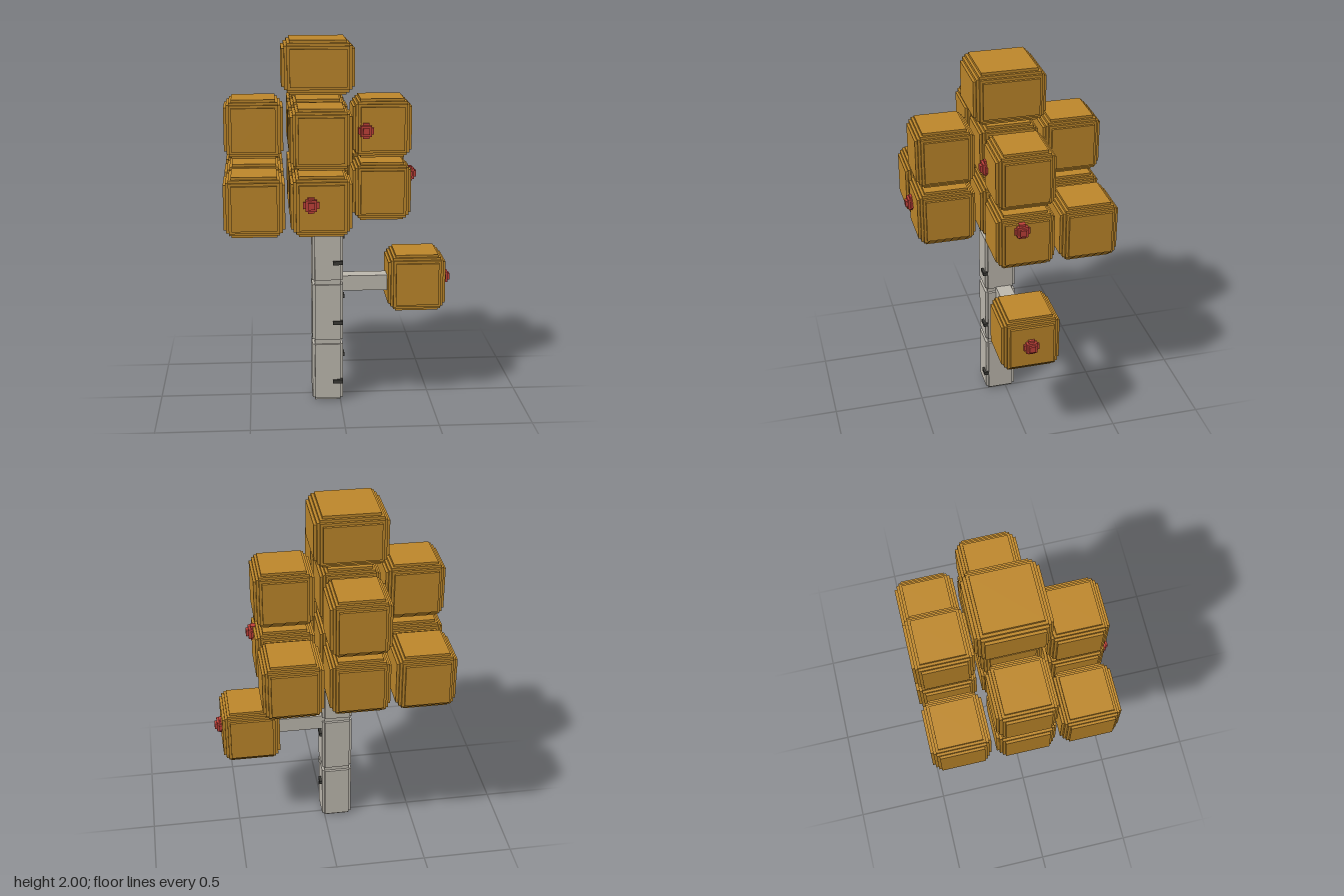
import * as THREE from 'three';
import { mergeGeometries } from 'three/addons/utils/BufferGeometryUtils.js';

// Inset triples (in steps) whose union makes a block with staircase edges
const STEPS = {
  1: [[0, 1, 1]],
  2: [[0, 2, 2], [1, 1, 1]],
  3: [[0, 3, 3], [1, 2, 2]],
};

// Block with edges rounded in n voxel steps of size d
function steppedBlock(w, h, l, n, d) {
  const boxes = [];
  for (const t of STEPS[n]) {
    const turns = t[0] === t[1] ? 1 : 3;
    for (let k = 0; k < turns; k++) {
      const [a, b, c] = [t[k], t[(k + 1) % 3], t[(k + 2) % 3]];
      boxes.push(new THREE.BoxGeometry(w - 2 * a * d, h - 2 * b * d, l - 2 * c * d));
    }
  }
  return mergeGeometries(boxes);
}

function material(name, color) {
  const m = new THREE.MeshStandardMaterial({ color });
  m.name = name;
  return m;
}

export function createModel() {
  const root = new THREE.Group();
  root.name = 'blockTree';
  const foliage = material('amber foliage', 0xc0892b);
  const bark = material('pale bark', 0xc0bbb1);
  const knot = material('dark bark mark', 0x3b3a36);
  const red = material('red berry', 0xc2423a);

  const add = (name, geo, mat, x, y, z) => {
    const mesh = new THREE.Mesh(geo, mat);
    mesh.name = name;
    mesh.position.set(x, y, z);
    root.add(mesh);
    return mesh;
  };

  // Trunk of three stacked blocks, each with a front and a side bark mark
  const trunkGeo = steppedBlock(0.168, 0.342, 0.168, 1, 0.014);
  const frontMark = new THREE.BoxGeometry(0.054, 0.02, 0.03);
  const sideMark = new THREE.BoxGeometry(0.03, 0.02, 0.052);
  for (let i = 0; i < 3; i++) {
    const y = i * 0.342;
    add('trunkBlock', trunkGeo, bark, -0.07, y + 0.171, 0.031);
    add('frontBarkMark', frontMark, knot, -0.015, y + 0.112, 0.113);
    add('sideBarkMark', sideMark, knot, 0.013, y + 0.233, -0.005);
  }

  // Side branch and its leaf block
  add('branch', new THREE.BoxGeometry(0.28, 0.085, 0.085), bark, 0.14, 0.662, 0.015);
  const leafGeo = steppedBlock(0.314, 0.314, 0.314, 3, 0.0135);
  add('branchLeafBlock', leafGeo, foliage, 0.418, 0.676, 0.002);

  // Crown: lower layer lacks one corner, upper layer is a cross
  for (let i = -1; i <= 1; i++) {
    for (let k = -1; k <= 1; k++) {
      const x = -0.118 + i * 0.342, z = -0.02 + k * 0.342;
      if (!(i === 1 && k === 1)) add('lowerLeafBlock', leafGeo, foliage, x, 1.187, z);
      if (i === 0 || k === 0) add('upperLeafBlock', leafGeo, foliage, x, 1.53, z);
    }
  }
  add('topLeafBlock', steppedBlock(0.385, 0.285, 0.385, 3, 0.0145), foliage, -0.118, 1.857, -0.017);

  // Berries half sunk into the leaf blocks
  const berryGeo = steppedBlock(0.082, 0.082, 0.082, 2, 0.012);
  [
    [-0.173, 1.205, 0.475],
    [0.133, 1.523, 0.13],
    [0.376, 1.267, 0.01],
    [0.572, 0.681, 0.01],
  ].forEach((p) => add('berry', berryGeo, red, ...p));

  return root;
}
